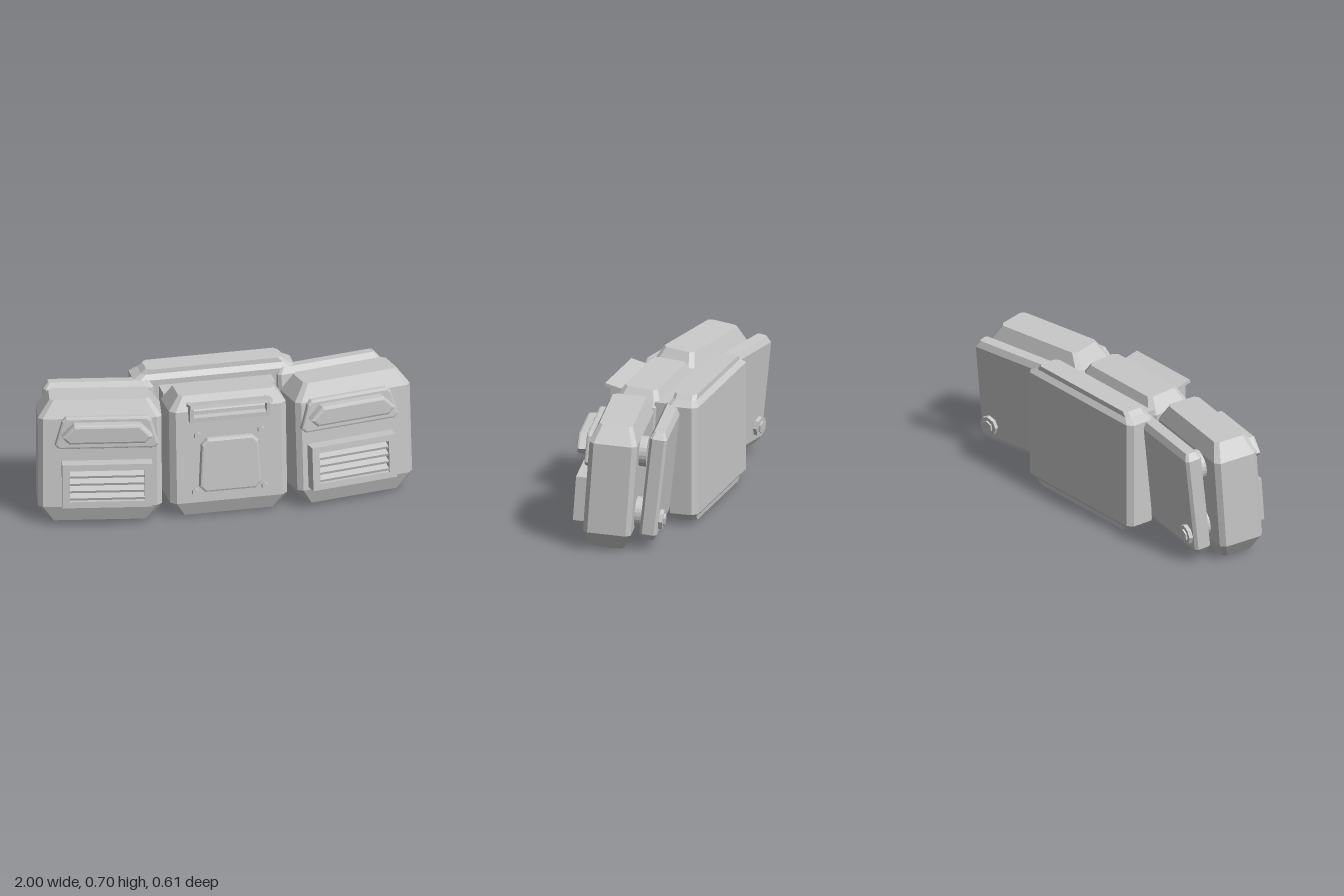
import * as THREE from 'three';

const grey = new THREE.MeshStandardMaterial({ color: 0xc8c8c8, flatShading: true });
grey.name = 'light grey';

function add(parent, name, geometry, x = 0, y = 0, z = 0, rx = 0) {
  const mesh = new THREE.Mesh(geometry, grey);
  mesh.name = name;
  mesh.position.set(x, y, z);
  mesh.rotation.x = rx;
  parent.add(mesh);
  return mesh;
}

// Stack of bevelled rectangles; each level is [y, halfWidth, halfDepth, bevel]
function loft(levels) {
  const rings = levels.map(([y, w, d, b]) => [
    [w, d - b], [w, b - d], [w - b, -d], [b - w, -d],
    [-w, b - d], [-w, d - b], [b - w, d], [w - b, d],
  ].map(([x, z]) => [x, y, z]));
  const pos = [];
  const tri = (...p) => p.forEach((v) => pos.push(...v));
  for (let k = 0; k < rings.length - 1; k++) {
    for (let i = 0; i < 8; i++) {
      const j = (i + 1) % 8, lo = rings[k], hi = rings[k + 1];
      tri(lo[i], lo[j], hi[j]);
      tri(lo[i], hi[j], hi[i]);
    }
  }
  const bottom = rings[0], top = rings[rings.length - 1];
  for (let i = 1; i < 7; i++) {
    tri(top[0], top[i], top[i + 1]);
    tri(bottom[0], bottom[i + 1], bottom[i]);
  }
  const g = new THREE.BufferGeometry();
  g.setAttribute('position', new THREE.Float32BufferAttribute(pos, 3));
  g.computeVertexNormals();
  return g;
}

// Levels mirrored about y = 0, given from the middle outwards
const symmetric = (half) => loft([
  ...half.map(([y, ...r]) => [-y, ...r]).reverse(), ...half]);

// Raised trapezoid plate with chamfered corners and a bevelled front edge
function trapezoid(bottomHalf, topHalf, halfHeight, depth, cut, bevel) {
  const b = bottomHalf - bevel, t = topHalf - bevel, h = halfHeight - bevel;
  const shape = new THREE.Shape([
    [b - cut, -h], [b, -h + cut], [t, h - cut], [t - cut, h],
    [cut - t, h], [-t, h - cut], [-b, cut - h], [cut - b, -h],
  ].map(([x, y]) => new THREE.Vector2(x, y)));
  return new THREE.ExtrudeGeometry(shape, {
    depth: depth - bevel, bevelEnabled: true, bevelSize: bevel,
    bevelThickness: bevel, bevelSegments: 2,
  });
}

function ventFrame(w, h, iw, ih, depth) {
  const rect = (S, a, b) => new S([[-a, -b], [a, -b], [a, b], [-a, b]]
    .map(([x, y]) => new THREE.Vector2(x, y)));
  const shape = rect(THREE.Shape, w, h);
  shape.holes.push(rect(THREE.Path, iw, ih));
  return new THREE.ExtrudeGeometry(shape, { depth, bevelEnabled: false });
}

function disc(radius, length, sides) {
  return new THREE.CylinderGeometry(radius, radius, length, sides).rotateX(Math.PI / 2);
}

function holder(parent, name, x, y, z, tilt, yaw) {
  const g = new THREE.Group();
  g.name = name;
  g.position.set(x, y, z);
  g.rotation.set(tilt, yaw, 0, 'YXZ');
  parent.add(g);
  return g;
}

function sidePod(root, s, side) {
  const pod = holder(root, side + 'Pod', s * 0.66, 0.347, 0.05, -0.07, s * 0.17);
  add(pod, 'podBody', symmetric([[0.245, 0.323, 0.126, 0.025], [0.335, 0.26, 0.088, 0.02]]));

  // Lamp on its mounting plate
  const cx = -s * 0.035;
  add(pod, 'lampBase', trapezoid(0.27, 0.235, 0.088, 0.05, 0.015, 0.012), cx, 0.172, 0.105);
  add(pod, 'lamp', trapezoid(0.232, 0.205, 0.053, 0.095, 0.025, 0.014), cx, 0.185, 0.11, 0.06);

  // Louvred vent
  add(pod, 'ventFrame', ventFrame(0.235, 0.12, 0.195, 0.086, 0.08), cx, -0.108, 0.115);
  for (let i = 0; i < 4; i++) {
    add(pod, 'ventSlat', new THREE.BoxGeometry(0.392, 0.014, 0.07),
      cx, -0.048 - i * 0.041, 0.152, 0.35);
  }

  // Spacers between the pod and its rear panel
  for (const y of [0.17, -0.165]) {
    add(pod, 'spacer', disc(0.08, 0.06, 24), s * 0.13, y, -0.135);
  }

  // Rear panel with a hex bolt in its lower outer corner
  const panel = holder(root, side + 'RearPanel', s * 0.615, 0.357, -0.168, -0.106, s * 0.17);
  add(panel, 'panelBody', symmetric([[0.262, 0.288, 0.046, 0.015], [0.296, 0.262, 0.028, 0.01]]));
  add(panel, 'boltFlange', disc(0.054, 0.03, 8), s * 0.215, -0.19, -0.052);
  add(panel, 'boltHead', disc(0.034, 0.03, 6), s * 0.215, -0.19, -0.062);
}

export function createModel() {
  const root = new THREE.Group();
  root.name = 'triplePodPack';

  sidePod(root, 1, 'left');
  sidePod(root, -1, 'right');

  // Centre pod
  const centre = holder(root, 'centrePod', 0, 0.343, 0.085, -0.07, 0);
  add(centre, 'centreBody', symmetric([[0.255, 0.312, 0.126, 0.03], [0.333, 0.255, 0.09, 0.02]]));
  add(centre, 'accessPlate', trapezoid(0.165, 0.152, 0.148, 0.045, 0.025, 0.012), 0, -0.045, 0.115);
  for (const s of [1, -1]) {
    add(centre, 'plateBolt', disc(0.019, 0.04, 6), s * 0.17, 0.122, 0.13);
    add(centre, 'plateBolt', disc(0.019, 0.04, 6), s * 0.185, -0.192, 0.13);
  }

  // Hooded slot above the plate
  add(root, 'slotHood', new THREE.BoxGeometry(0.44, 0.018, 0.1), 0, 0.65, 0.22, -0.25);
  add(root, 'slotSill', new THREE.BoxGeometry(0.43, 0.025, 0.06), 0, 0.573, 0.205);
  for (const s of [1, -1]) {
    add(root, 'slotCheek', new THREE.BoxGeometry(0.02, 0.09, 0.08), s * 0.205, 0.605, 0.2);
  }

  // Rear pack and its link to the centre pod
  add(root, 'linkBlock', new THREE.BoxGeometry(0.6, 0.54, 0.11), 0, 0.35, -0.085);
  add(root, 'rearPack', symmetric([
    [0.292, 0.43, 0.086, 0.028], [0.318, 0.385, 0.064, 0.02], [0.343, 0.36, 0.062, 0.02],
  ]), 0, 0.358, -0.217);

  return root;
}
